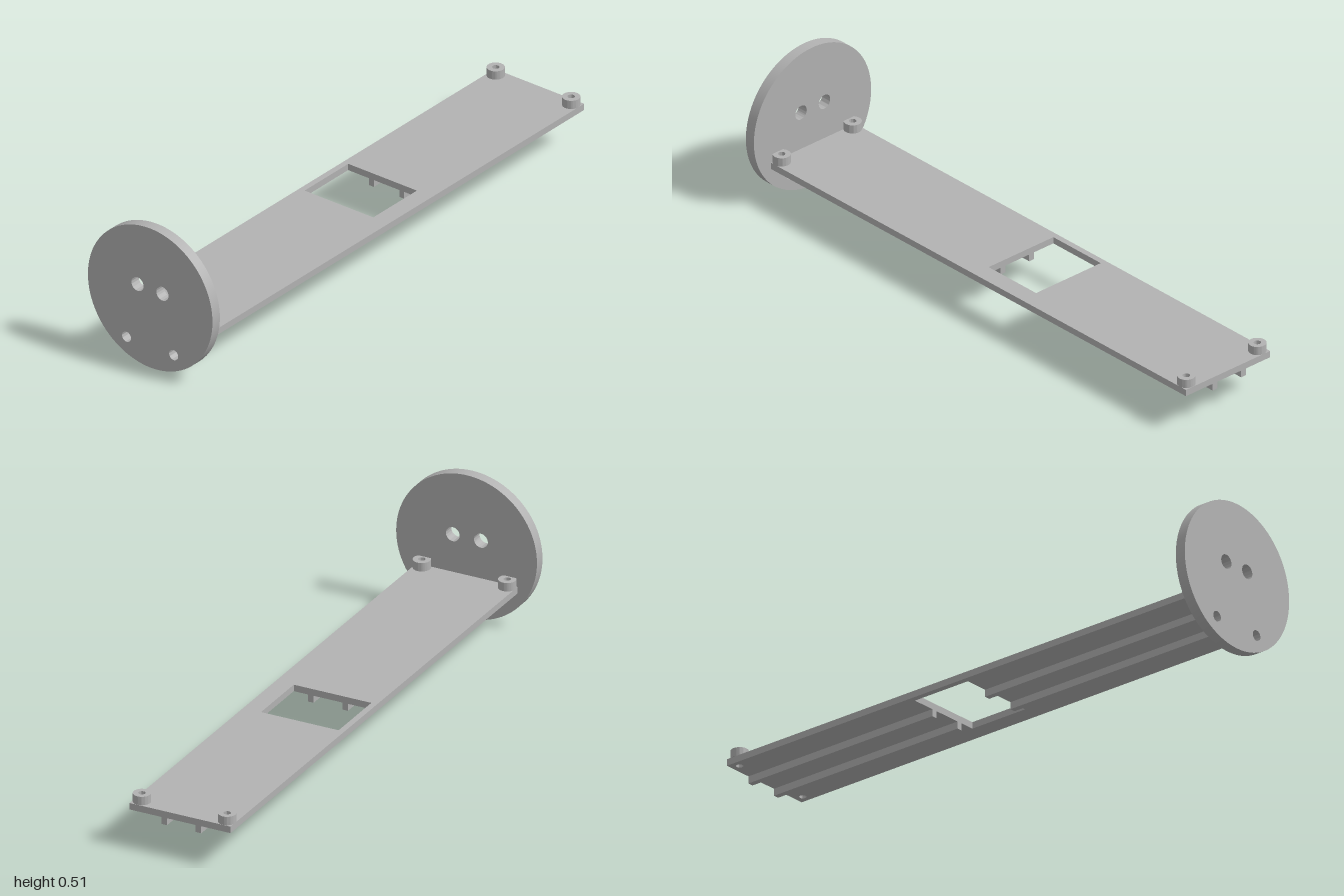
import * as THREE from 'three';
import { toCreasedNormals } from 'three/addons/utils/BufferGeometryUtils.js';

const grey = new THREE.MeshStandardMaterial({ color: 0xb2b2b2 });
grey.name = 'light grey';

function circle(PathType, x, y, r) {
  return new PathType().absarc(x, y, r, 0, Math.PI * 2, false);
}

function rectangle(PathType, x0, x1, y0, y1) {
  return new PathType().moveTo(x0, y0).lineTo(x1, y0).lineTo(x1, y1).lineTo(x0, y1).closePath();
}

function extrude(shape, depth, segments = 32) {
  const geometry = new THREE.ExtrudeGeometry(shape, { depth, bevelEnabled: false, curveSegments: segments });
  return toCreasedNormals(geometry, 0.6);
}

// Shape drawn in (x, -z), raised from y0 to y1
function extrudeUp(shape, y0, y1) {
  return extrude(shape, y1 - y0).rotateX(-Math.PI / 2).translate(0, y0, 0);
}

export function createModel() {
  const model = new THREE.Group();
  model.name = 'mountingTray';
  const add = (name, geometry) => {
    const mesh = new THREE.Mesh(geometry, grey);
    mesh.name = name;
    model.add(mesh);
  };

  const plateLeft = 0.181, plateRight = -0.185;
  const discBack = 0.962, backEnd = -1;
  const ribBottom = 0.106, plateBottom = 0.131, plateTop = 0.154, bossTop = 0.184;
  const windowFront = 0.002, windowBack = -0.222;
  const bosses = [];
  for (const x of [-0.157, 0.152]) for (const z of [-0.97, 0.943]) bosses.push([x, z]);

  // Round end plate with two upper and two lower holes
  const disc = circle(THREE.Shape, 0, 0.255, 0.255);
  for (const [x, y, r] of [[-0.052, 0.288, 0.025], [0.05, 0.288, 0.025], [-0.097, 0.079, 0.0185], [0.096, 0.079, 0.0185]]) {
    disc.holes.push(circle(THREE.Path, x, y, r));
  }
  add('endDisc', extrude(disc, 1 - discBack, 48).translate(0, 0, discBack));

  // Long tray with an offset window and screw holes
  const tray = rectangle(THREE.Shape, plateRight, plateLeft, -discBack, -backEnd);
  tray.holes.push(rectangle(THREE.Path, -0.164, 0.117, -windowFront, -windowBack));
  for (const [x, z] of bosses) tray.holes.push(circle(THREE.Path, x, -z, 0.012));
  add('tray', extrudeUp(tray, plateBottom, plateTop));

  // Screw bosses at the corners
  for (const [x, z] of bosses) {
    const boss = circle(THREE.Shape, x, -z, 0.0295);
    boss.holes.push(circle(THREE.Path, x, -z, 0.012));
    add('screwBoss', extrudeUp(boss, plateTop, bossTop));
  }

  // Stiffening ribs underneath, interrupted by the window
  for (const x of [-0.069, 0.055]) {
    for (const [z0, z1] of [[backEnd, windowBack], [windowFront, discBack]]) {
      const rib = new THREE.BoxGeometry(0.02, plateBottom - ribBottom, z1 - z0);
      add('rib', rib.translate(x, (plateBottom + ribBottom) / 2, (z0 + z1) / 2));
    }
  }

  return model;
}
